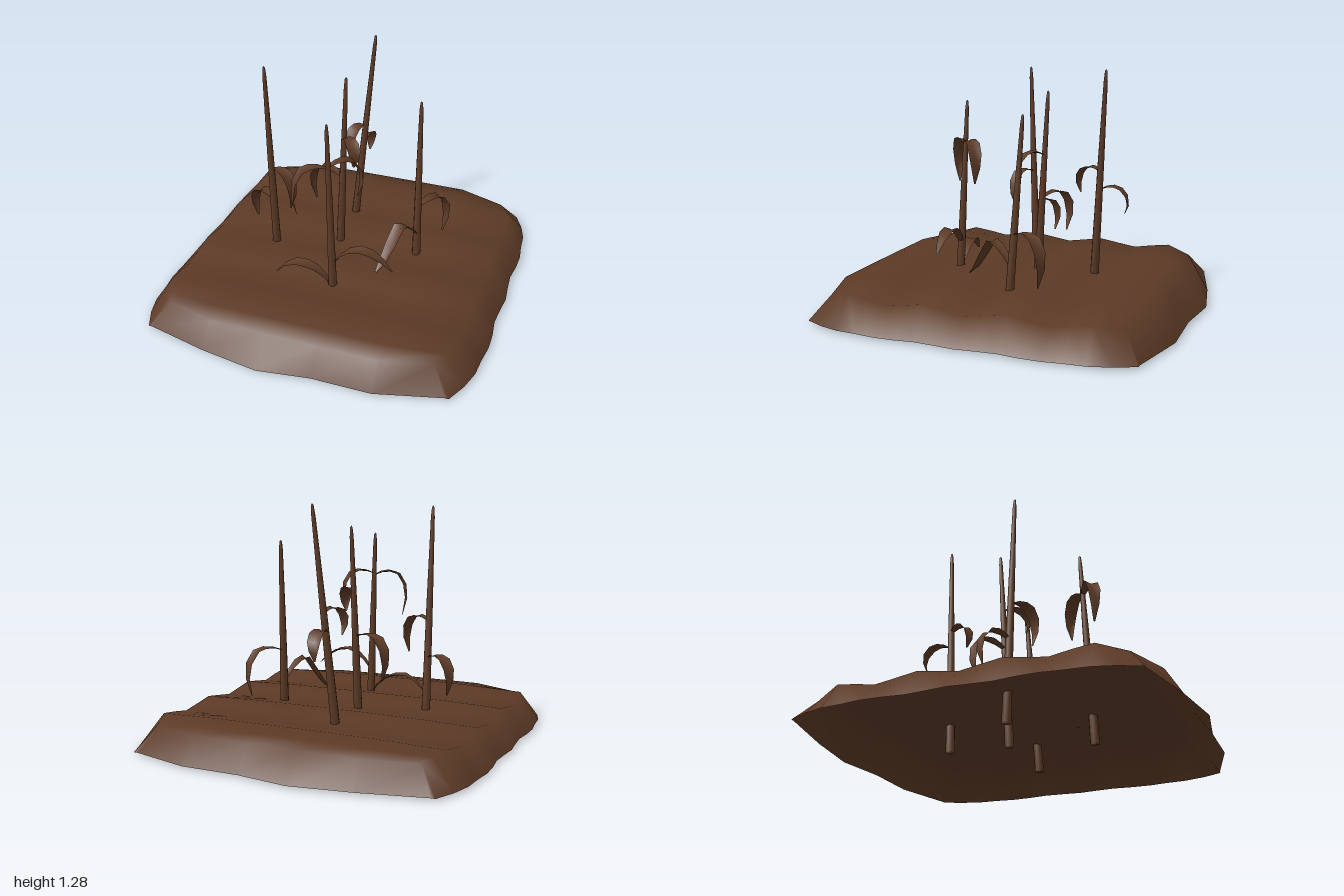
import * as THREE from 'three';

const brown = new THREE.MeshStandardMaterial({ color: 0x5c3a26, side: THREE.DoubleSide });
brown.name = 'earth brown';

// Surface through rows of points, smooth shaded
function skin(rows, name) {
  const n = rows[0].length, index = [];
  for (let j = 0; j < rows.length - 1; j++)
    for (let i = 0; i < n - 1; i++) {
      const a = j * n + i, b = a + n;
      index.push(a, b, a + 1, b, b + 1, a + 1);
    }
  const g = new THREE.BufferGeometry();
  g.setAttribute('position', new THREE.Float32BufferAttribute(rows.flat(2), 3));
  g.setIndex(index);
  g.computeVertexNormals();
  const mesh = new THREE.Mesh(g, brown);
  mesh.name = name;
  return mesh;
}

// Open mound: furrows along x, a sloping rim and cut corners
function soil() {
  const xs = [-0.92, -0.8, -0.46, -0.14, 0.14, 0.46, 0.8, 0.92];
  const rimZ = [0.87, 0.87, 0.95, 1, 0.96, 0.96, 0.87, 0.87];
  const rows = [];
  for (let j = -9; j <= 9; j++) {
    const rowZ = j * 0.87 / 8, out = Math.abs(rowZ);
    const cut = 0.4 * Math.max(0, out - 0.63);
    rows.push(xs.map((x, i) => {
      const side = Math.sign(x), outer = Math.abs(x) > 0.7;
      const edgeX = i === 0 || i === xs.length - 1;
      if (Math.abs(j) === 9) return [edgeX ? side * 0.81 : x, 0.01, Math.sign(j) * rimZ[i]];
      if (edgeX) return [side * (0.915 - cut + 0.009 * Math.cos(rowZ * 16)), 0.01, rowZ];
      const y = 0.157 - 0.017 * Math.cos(rowZ * 2 * Math.PI / 0.43) + 0.006 * (1 - Math.abs(x));
      return outer ? [x * (1 - cut), y - 0.008, rowZ * (1 - cut)] : [x, y, rowZ];
    }));
  }
  return skin(rows, 'soilMound');
}

// Tapered stalk with a rounded tip
function stalk(base, tip) {
  const along = tip.clone().sub(base), len = along.length();
  const profile = [[0, 0], [0.026, 0], [0.023, 0.25], [0.018, 0.6], [0.011, 0.95],
    [0.007, 0.992], [0, 1]].map(([r, t]) => new THREE.Vector2(r, t * len));
  const mesh = new THREE.Mesh(new THREE.LatheGeometry(profile, 8), brown);
  mesh.position.copy(base);
  mesh.quaternion.setFromUnitVectors(new THREE.Vector3(0, 1, 0), along.normalize());
  mesh.name = 'stalk';
  return mesh;
}

// Hanging blade: short flat arch, then a drop that tucks back in
const hanging = (y, tipY) => [[0, y], [0.35, y + 0.025], [0.75, y + 0.01],
  [1, y - 0.4 * (y - tipY)], [0.88, tipY]];
// Spreading blade: wide, low arch
const spreading = (y, tipY) => [[0, y], [0.2, y + 0.085], [0.45, y + 0.125],
  [0.74, tipY + 0.08], [1, tipY]];

// Creased blade swept from the root to the end along a path of [fraction outward, y]
function leaf(root, endX, endZ, path, width) {
  const dx = endX - root.x, dz = endZ - root.z;
  const curve = new THREE.CatmullRomCurve3(
    path.map(([t, y]) => new THREE.Vector3(root.x + dx * t, y, root.z + dz * t)));
  const side = new THREE.Vector3(-dz, 0, dx).normalize();
  const widths = [0.3, 0.6, 0.85, 1, 0.95, 0.65, 0.12];
  const rows = widths.map((k, i) => {
    const u = i / (widths.length - 1), p = curve.getPoint(u);
    const up = new THREE.Vector3().crossVectors(curve.getTangent(u), side).normalize();
    if (up.y < 0) up.negate();
    return [-1, 0, 1].map(s => p.clone().addScaledVector(side, s * k * width / 2)
      .addScaledVector(up, s === 0 ? -0.012 * k : 0).toArray());
  });
  return skin(rows, 'leaf');
}

// Stalk plus leaves, each given as [root height, end x, end z, tip height, path rule]
function plant(base, tip, leaves) {
  const a = new THREE.Vector3(...base), b = new THREE.Vector3(...tip);
  const group = new THREE.Group();
  group.name = 'witheredPlant';
  group.add(stalk(a, b));
  for (const [y, x, z, tipY, rule] of leaves)
    group.add(leaf(a.clone().lerp(b, y / b.y), x, z, rule(y, tipY), 0.075));
  return group;
}

export function createModel() {
  const model = new THREE.Group();
  model.name = 'witheredCropPlot';
  model.add(soil());
  // Left plant
  model.add(plant([-0.415, 0, 0.075], [-0.43, 1.26, 0.12], [
    [0.44, -0.58, 0, 0.26, hanging],
    [0.64, -0.265, 0.17, 0.45, hanging]]));
  // Rear plant
  model.add(plant([-0.105, 0, -0.375], [-0.005, 1.28, -0.46], [
    [0.63, -0.065, -0.575, 0.5, hanging],
    [0.73, -0.1, -0.285, 0.6, hanging]]));
  // Middle plant
  model.add(plant([-0.075, 0, -0.05], [-0.06, 1.155, -0.12], [
    [0.56, -0.285, -0.175, 0.34, hanging],
    [0.8, 0.04, 0.015, 0.68, hanging]]));
  // Front plant
  model.add(plant([0.045, 0, 0.375], [0, 1.095, 0.335], [
    [0.86, 0.15, 0.22, 0.65, hanging],
    [0.85, -0.145, 0.46, 0.61, hanging],
    [0.14, -0.28, 0.4, 0.18, spreading],
    [0.28, 0.37, 0.355, 0.3, spreading]]));
  // Right plant
  model.add(plant([0.385, 0, -0.06], [0.36, 1.07, -0.135], [
    [0.45, 0.495, -0.285, 0.21, hanging],
    [0.27, 0.23, 0.23, 0.17, spreading]]));
  return model;
}
